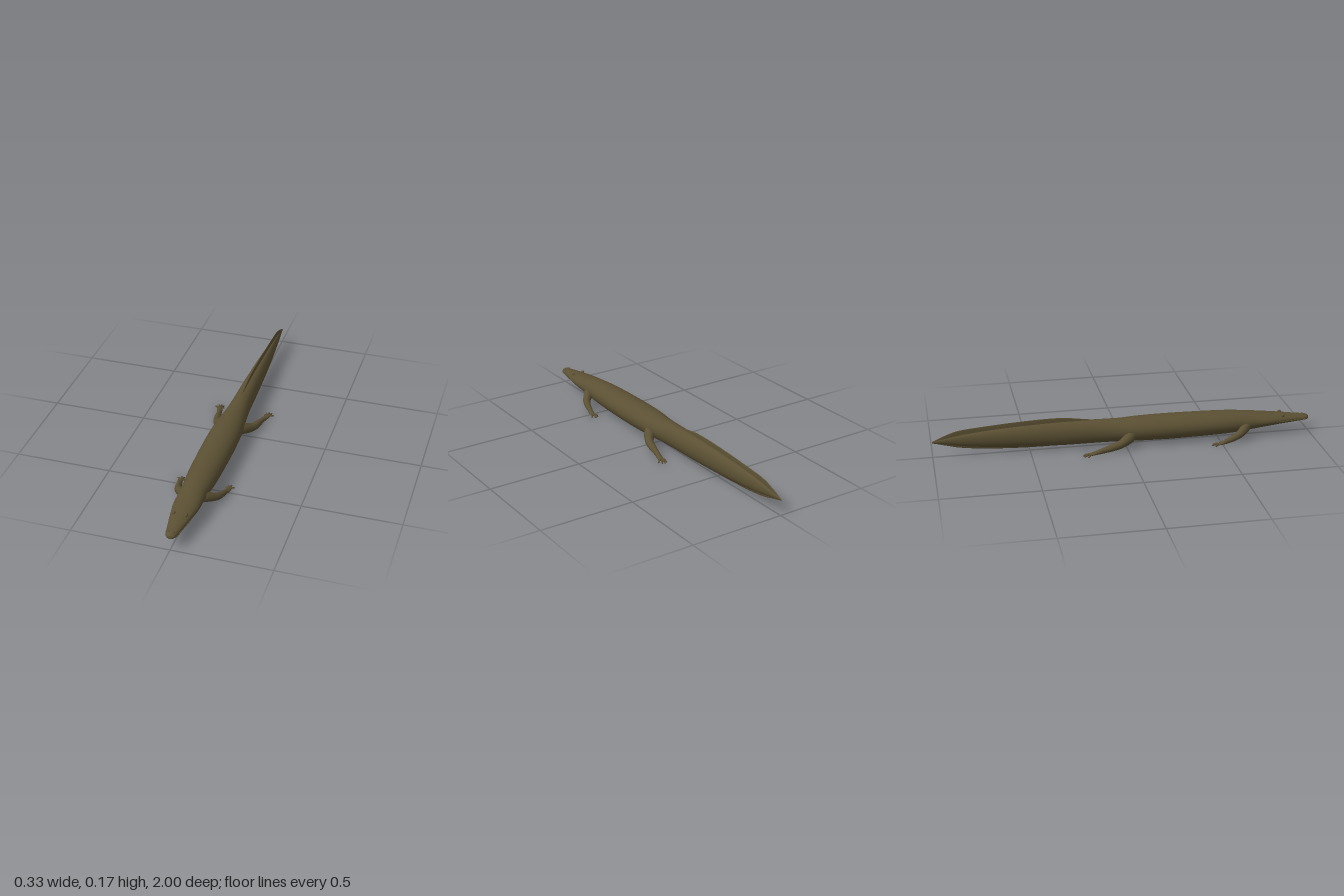
import * as THREE from 'three';

const V = (x, y, z) => new THREE.Vector3(x, y, z);
const skin = new THREE.MeshStandardMaterial({ color: 0x5b5033 });
skin.name = 'olive skin';

// Skin a closed tube over elliptical rings { c, n, b, rx, ry }, capped at both ends
function loft(rings, sides) {
  const pos = [], index = [];
  rings.forEach(({ c, n, b, rx, ry }) => {
    for (let j = 0; j < sides; j++) {
      const a = (j / sides) * Math.PI * 2;
      const p = c.clone().addScaledVector(n, Math.cos(a) * rx).addScaledVector(b, Math.sin(a) * ry);
      pos.push(p.x, p.y, p.z);
    }
  });
  const last = rings.length - 1, start = rings.length * sides;
  [rings[0].c, rings[last].c].forEach(c => pos.push(c.x, c.y, c.z));
  for (let j = 0; j < sides; j++) {
    const k = (j + 1) % sides;
    for (let i = 0; i < last; i++) {
      const a = i * sides + j, b = i * sides + k;
      index.push(a, a + sides, b, b, a + sides, b + sides);
    }
    index.push(start, j, k, start + 1, last * sides + k, last * sides + j);
  }
  const g = new THREE.BufferGeometry();
  g.setAttribute('position', new THREE.Float32BufferAttribute(pos, 3));
  g.setIndex(index);
  g.computeVertexNormals();
  return g;
}

// Loft along z through rows of [z, half width, top, bottom]
function profileLoft(rows, steps, sides) {
  const upper = new THREE.CatmullRomCurve3(rows.map(r => V(r[1], r[2], r[0])), false, 'catmullrom');
  const lower = new THREE.CatmullRomCurve3(rows.map(r => V(0, r[3], r[0])), false, 'catmullrom');
  const rings = [];
  for (let i = 0; i <= steps; i++) {
    const u = upper.getPoint(i / steps), l = lower.getPoint(i / steps);
    rings.push({
      c: V(0, (u.y + l.y) / 2, u.z), n: V(1, 0, 0), b: V(0, 1, 0),
      rx: Math.max(u.x, 0.001), ry: Math.max((u.y - l.y) / 2, 0.001),
    });
  }
  return loft(rings, sides);
}

// Tapered limb through points [x, y, z, radius, flatness]
function limb(points, steps, sides) {
  const path = new THREE.CatmullRomCurve3(points.map(p => V(p[0], p[1], p[2])), false, 'catmullrom');
  const size = new THREE.CatmullRomCurve3(points.map(p => V(p[3], p[3] * (p[4] ?? 1), 0)), false, 'catmullrom');
  const rings = [];
  for (let i = 0; i <= steps; i++) {
    const t = i / steps, T = path.getTangent(t), s = size.getPoint(t);
    const n = V(0, 1, 0).cross(T).normalize();
    rings.push({ c: path.getPoint(t), n, b: n.clone().cross(T), rx: s.x, ry: s.y });
  }
  return loft(rings, sides);
}

export function createModel() {
  const model = new THREE.Group();
  model.name = 'salamander';
  const add = (name, geometry, parent = model) => {
    const mesh = new THREE.Mesh(geometry, skin);
    mesh.name = name;
    parent.add(mesh);
    return mesh;
  };

  // Head, trunk and tail core
  add('body', profileLoft([
    [1.0, 0.012, 0.083, 0.066], [0.985, 0.024, 0.09, 0.06], [0.93, 0.036, 0.096, 0.057],
    [0.85, 0.051, 0.106, 0.052], [0.77, 0.064, 0.115, 0.045], [0.69, 0.066, 0.126, 0.034],
    [0.62, 0.068, 0.134, 0.024], [0.5, 0.077, 0.141, 0.017], [0.25, 0.082, 0.145, 0.013],
    [0.08, 0.077, 0.144, 0.015], [-0.03, 0.064, 0.14, 0.018], [-0.15, 0.053, 0.143, 0.018],
    [-0.35, 0.045, 0.145, 0.018], [-0.6, 0.033, 0.136, 0.028], [-0.8, 0.019, 0.12, 0.046],
    [-0.92, 0.009, 0.102, 0.066], [-1.0, 0.002, 0.086, 0.08],
  ], 112, 32));

  // Thin swimming fin above and below the tail
  add('tailFin', profileLoft([
    [-0.15, 0.003, 0.143, 0.03], [-0.24, 0.004, 0.156, 0.025], [-0.33, 0.004, 0.167, 0.018],
    [-0.45, 0.004, 0.167, 0.016], [-0.6, 0.004, 0.16, 0.02], [-0.75, 0.004, 0.149, 0.03],
    [-0.86, 0.003, 0.138, 0.044], [-0.93, 0.003, 0.117, 0.061], [-1.0, 0.001, 0.086, 0.079],
  ], 56, 24));

  for (const s of [1, -1]) {
    const side = s > 0 ? 'left' : 'right';

    // Raised eye and nostril
    const eye = add(side + 'Eye', new THREE.SphereGeometry(0.01, 16, 10));
    eye.position.set(s * 0.031, 0.101, 0.85);
    eye.scale.set(0.8, 0.9, 1.1);
    const nostril = add(side + 'Nostril', new THREE.SphereGeometry(0.004, 10, 6));
    nostril.position.set(s * 0.013, 0.09, 0.972);

    // Lip fold along the jaw
    add(side + 'Lip', limb([[0.012, 0.072, 0.996, 0.002], [0.026, 0.072, 0.978, 0.003],
      [0.037, 0.073, 0.92, 0.003], [0.05, 0.075, 0.85, 0.003], [0.057, 0.076, 0.81, 0.001],
    ].map(([x, ...r]) => [s * x, ...r]), 20, 8));

    // Legs swept backward, each with a flat foot and splayed toes
    const legs = [
      { name: 'FrontLeg', palm: [0.126, 0.482], toes: [[0.105, 0.465], [0.114, 0.446], [0.13, 0.441], [0.148, 0.455]],
        path: [[0.03, 0.072, 0.655, 0.03], [0.06, 0.059, 0.635, 0.026], [0.094, 0.04, 0.598, 0.02],
          [0.109, 0.027, 0.56, 0.017], [0.118, 0.016, 0.52, 0.013], [0.124, 0.011, 0.495, 0.014, 0.6],
          [0.128, 0.008, 0.472, 0.012, 0.4]] },
      { name: 'HindLeg', palm: [0.134, -0.197], toes: [[0.112, -0.215], [0.12, -0.235], [0.135, -0.243], [0.15, -0.238], [0.164, -0.22]],
        path: [[0.03, 0.07, 0.03, 0.036], [0.062, 0.054, 0.012, 0.03], [0.095, 0.036, -0.035, 0.022],
          [0.109, 0.026, -0.085, 0.019], [0.119, 0.016, -0.14, 0.014], [0.128, 0.011, -0.178, 0.015, 0.6],
          [0.135, 0.008, -0.208, 0.015, 0.4]] },
    ];
    for (const leg of legs) {
      const group = new THREE.Group();
      group.name = side + leg.name;
      model.add(group);
      add('limb', limb(leg.path.map(([x, ...r]) => [s * x, ...r]), 32, 16), group);
      const [px, pz] = leg.palm;
      for (const [x, z] of leg.toes) {
        add('toe', limb([
          [s * px, 0.009, pz, 0.005],
          [s * (px + x) / 2, 0.009, (pz + z) / 2, 0.0045],
          [s * (px + (x - px) * 0.85), 0.005, pz + (z - pz) * 0.85, 0.0042],
          [s * x, 0.003, z, 0.0015],
        ], 10, 8), group);
      }
    }
  }
  return model;
}
